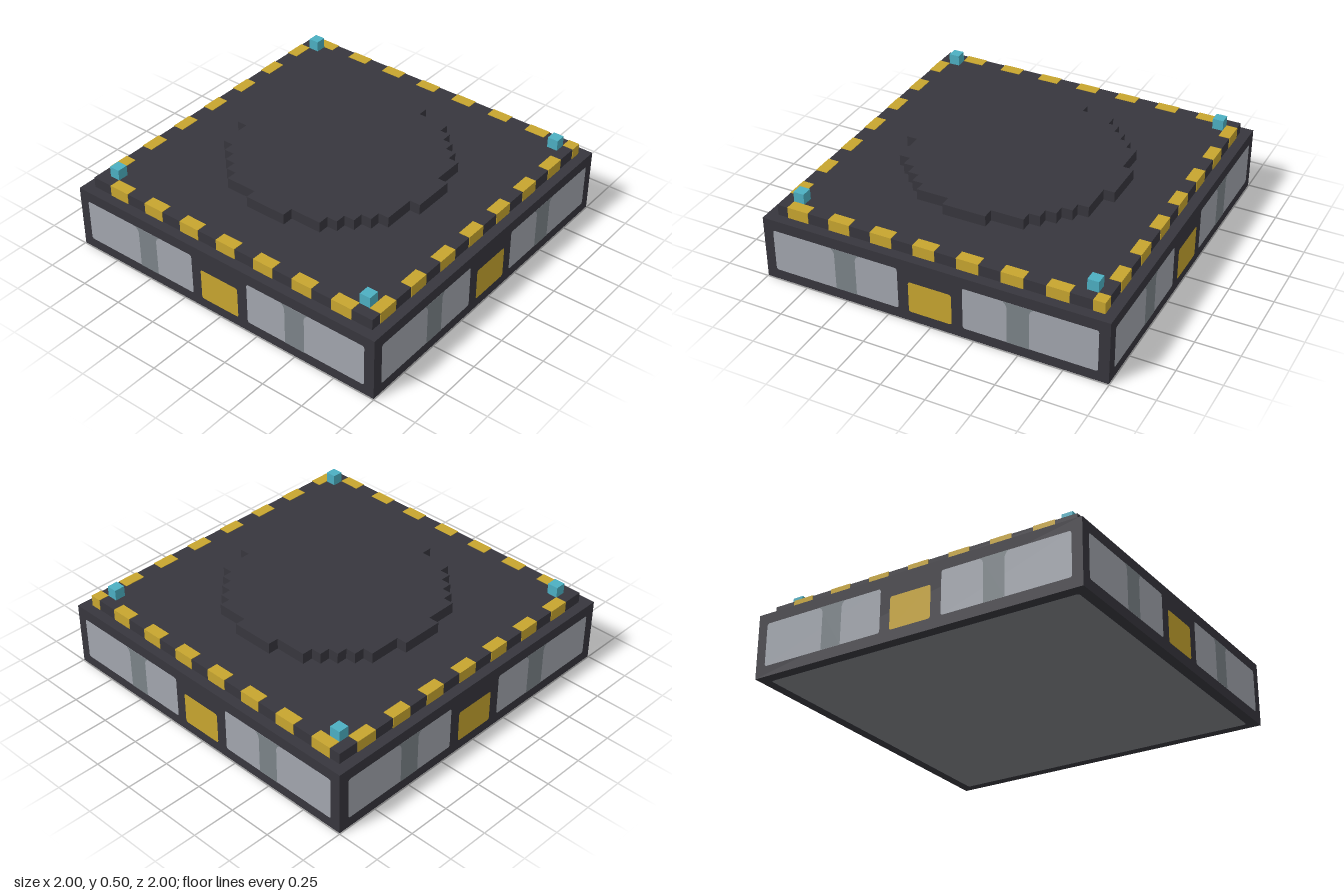
import * as THREE from 'three';

const U = 1 / 16; // grid step
const mat = (name, color) => {
  const m = new THREE.MeshStandardMaterial({ color });
  m.name = name;
  return m;
};

export function createModel() {
  const charcoal = mat('charcoal', 0x37363d);
  const lightGrey = mat('light grey', 0xa1a5ad);
  const midGrey = mat('mid grey', 0x7b8388);
  const underGrey = mat('underside grey', 0x7c7e82);
  const yellow = mat('hazard yellow', 0xc7a52f);
  const cyan = mat('lamp cyan', 0x4cafc2);

  const model = new THREE.Group();
  model.name = 'landingPad';

  const add = (parent, name, geometry, material) => {
    const mesh = new THREE.Mesh(geometry, material);
    mesh.name = name;
    parent.add(mesh);
    return mesh;
  };
  // Box given by its two corners
  const box = (name, x0, y0, z0, x1, y1, z1, material) =>
    add(model, name, new THREE.BoxGeometry(x1 - x0, y1 - y0, z1 - z0), material)
      .position.set((x0 + x1) / 2, (y0 + y1) / 2, (z0 + z1) / 2);

  // Flat rectangle with softened corners
  const plate = (x0, y0, x1, y1, r = 0.014) => {
    const s = new THREE.Shape();
    s.moveTo(x0 + r, y0);
    s.lineTo(x1 - r, y0);
    s.quadraticCurveTo(x1, y0, x1, y0 + r);
    s.lineTo(x1, y1 - r);
    s.quadraticCurveTo(x1, y1, x1 - r, y1);
    s.lineTo(x0 + r, y1);
    s.quadraticCurveTo(x0, y1, x0, y1 - r);
    s.lineTo(x0, y0 + r);
    s.quadraticCurveTo(x0, y0, x0 + r, y0);
    return new THREE.ShapeGeometry(s, 3);
  };

  // Base slab and upper deck
  box('base', -0.997, 0.002, -0.997, 0.997, 6 * U, 0.997, charcoal);
  box('deck', -15 * U, 6 * U, -15 * U, 15 * U, 7 * U, 15 * U, charcoal);

  // Underside panel
  add(model, 'undersidePanel', plate(-15 * U, -15 * U, 15 * U, 15 * U), underGrey).rotation.x = Math.PI / 2;

  // Side panels, the same on all four sides
  for (let k = 0; k < 4; k++) {
    const side = new THREE.Group();
    side.name = 'sidePanels' + (k + 1);
    side.rotation.y = k * Math.PI / 2;
    for (const c of [-9 * U, 9 * U]) {
      add(side, 'wallPanel', plate(c - 6 * U, U, c + 6 * U, 5 * U), lightGrey).position.z = 0.9985;
      // Dark rib, flared at the top
      const cx = Math.sign(c) * 8 * U;
      const rib = new THREE.Shape([
        [-U, U], [U, U], [U, 4.5 * U], [1.12 * U, 4.8 * U], [1.38 * U, 5 * U],
        [-1.38 * U, 5 * U], [-1.12 * U, 4.8 * U], [-U, 4.5 * U],
      ].map(([x, y]) => new THREE.Vector2(cx + x, y)));
      add(side, 'wallRib', new THREE.ShapeGeometry(rib), midGrey).position.z = 1;
    }
    add(side, 'door', plate(-2 * U, U, 2 * U, 4 * U), yellow).position.z = 1;
    model.add(side);
  }

  // Hazard stripes around the deck rim, slightly proud of it
  const e = 0.003, lo = 14 * U, hi = 15 * U + e, y0 = 6 * U, y1 = 7 * U + e;
  for (let k = 0; k < 7; k++) {
    const run = (start) => [(start + 4 * k) * U, (start + 4 * k + 2) * U];
    const [a, b] = run(-13);
    box('frontStripe', a, y0, lo, b, y1, hi, yellow);
    box('leftEdgeStripe', -hi, y0, a, -lo, y1, b, yellow);
    const [c, d] = run(-14);
    box('backStripe', c, y0, -hi, d, y1, -lo, yellow);
    const [f, g] = run(-12);
    box('rightEdgeStripe', lo, y0, f, hi, y1, g, yellow);
  }
  box('cornerStripe', lo, y0, -hi, hi, y1, -lo, yellow);

  // Raised stepped disc: one quadrant turned four times
  const steps = [[10, 2], [9, 2], [9, 5], [8, 5], [8, 6], [7, 6], [7, 7], [6, 7], [6, 8], [5, 8], [5, 9], [2, 9], [2, 10]];
  const outline = [];
  for (let k = 0; k < 4; k++)
    for (const [x, y] of steps)
      outline.push(new THREE.Vector2(x * U, y * U).rotateAround(new THREE.Vector2(), k * Math.PI / 2));
  const disc = add(model, 'raisedDisc',
    new THREE.ExtrudeGeometry(new THREE.Shape(outline), { depth: U, bevelEnabled: false }), charcoal);
  disc.rotation.x = -Math.PI / 2;
  disc.position.y = 7 * U;

  // Corner lamps
  for (const sx of [-1, 1])
    for (const sz of [-1, 1])
      add(model, 'cornerLamp', new THREE.BoxGeometry(U, U, U), cyan)
        .position.set(sx * 13.5 * U, 7.5 * U, sz * 13.5 * U);

  return model;
}
